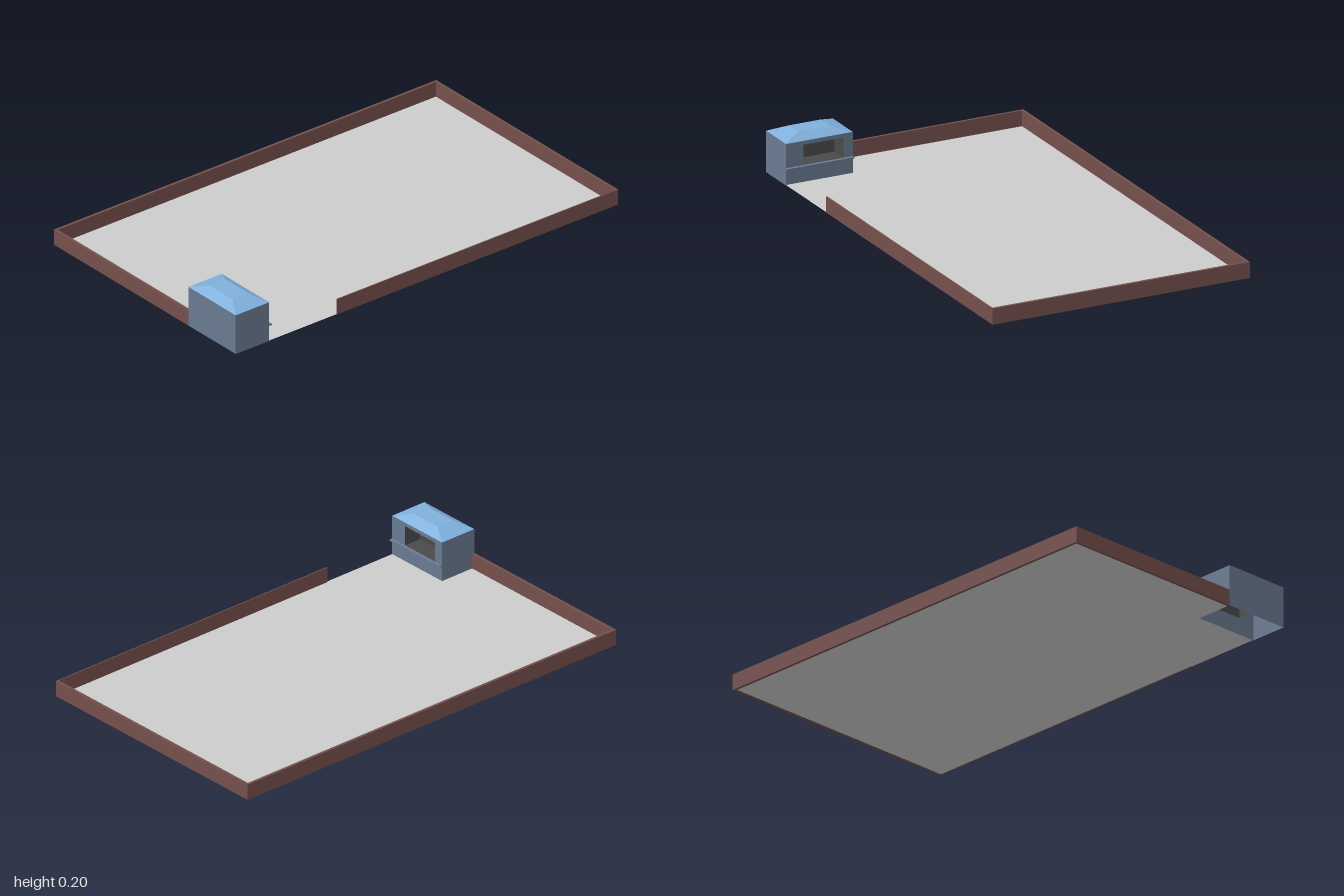
import * as THREE from 'three';

export function createModel() {
  const group = new THREE.Group();
  const mat = (color, side = THREE.DoubleSide) =>
    new THREE.MeshStandardMaterial({ color, side, flatShading: true });
  const brick = mat(0x74504c), blue = mat(0x6a7a92), roofBlue = mat(0x7fb0dc);

  const add = (name, geometry, material, parent = group) => {
    const mesh = new THREE.Mesh(geometry, material);
    mesh.name = name;
    parent.add(mesh);
    return mesh;
  };
  // Box given by its minimum and maximum corners
  const box = (name, a, b, material, parent) => {
    const mesh = add(name, new THREE.BoxGeometry(b[0] - a[0], b[1] - a[1], b[2] - a[2]), material, parent);
    mesh.position.set((a[0] + b[0]) / 2, (a[1] + b[1]) / 2, (a[2] + b[2]) / 2);
    return mesh;
  };
  // Closed outline from [x, y] pairs
  const outline = (points) => new THREE.Shape(points.map(([x, y]) => new THREE.Vector2(x, y)));

  const Z = 0.59, H = 0.07, T = 0.012;             // half depth, wall height, wall thickness
  const X0 = -1, X1 = -0.825, Z0 = 0.283, EAVE = 0.18; // booth footprint and eaves

  // Thin ground slab, cut away under the booth (shape y becomes -z)
  const ground = outline([
    [X0 + T, Z - T], [1 - T, Z - T], [1 - T, -Z], [X1, -Z], [X1, -Z0], [X0 + T, -Z0],
  ]);
  const floor = add('floor', new THREE.ShapeGeometry(ground), mat(0xcccccc));
  floor.rotation.x = -Math.PI / 2;
  floor.position.y = 0.002;

  // Perimeter walls, with an entrance gap beside the booth
  box('backWall', [-1, 0, -Z], [1, H, -Z + T], brick);
  box('leftWall', [1 - T, 0, -Z + T], [1, H, Z], brick);
  box('rightWall', [-1, 0, -Z + T], [-1 + T, H, Z0], brick);
  box('frontWall', [-0.47, 0, Z - 0.005], [1 - T, H, Z], brick);

  // Guard booth, open underneath
  const booth = new THREE.Group();
  booth.name = 'booth';
  group.add(booth);
  const w = X1 - X0, d = Z - Z0, cx = (X0 + X1) / 2, cz = (Z0 + Z) / 2;

  const panel = (name, width, x, z, turn) => {
    const mesh = add(name, new THREE.PlaneGeometry(width, EAVE), blue, booth);
    mesh.position.set(x, EAVE / 2, z);
    mesh.rotation.y = turn;
  };
  panel('boothFront', w, cx, Z, 0);
  panel('boothBack', w, cx, Z0, Math.PI);
  panel('boothOuterSide', d, X0, cz, -Math.PI / 2);

  // Side with the serving window (shape x becomes -z)
  const side = outline([[-Z, 0], [-Z0, 0], [-Z0, EAVE], [-Z, EAVE]]);
  side.holes.push(outline([[-0.51, 0.075], [-0.51, 0.163], [-0.325, 0.163], [-0.325, 0.075]]));
  const windowSide = add('boothWindowSide', new THREE.ShapeGeometry(side), blue, booth);
  windowSide.rotation.y = Math.PI / 2;
  windowSide.position.x = X1;

  // Dark recess behind the window, and the ledge below it
  box('windowRecess', [X1 - 0.08, 0.075, 0.325], [X1, 0.163, 0.51], mat(0x4a4a4a, THREE.BackSide), booth);
  box('windowLedge', [X1, 0.069, Z0], [-0.81, 0.075, Z], blue, booth);

  // Hipped roof: a box whose top is drawn in
  const roofGeo = new THREE.BoxGeometry(w, 0.025, d);
  const pos = roofGeo.attributes.position;
  for (let i = 0; i < pos.count; i++) {
    if (pos.getY(i) > 0) {
      pos.setX(i, pos.getX(i) * 0.47);
      pos.setZ(i, pos.getZ(i) * 0.48);
    }
  }
  roofGeo.computeVertexNormals();
  add('boothRoof', roofGeo, roofBlue, booth).position.set(cx, EAVE + 0.0125, cz);

  return group;
}
